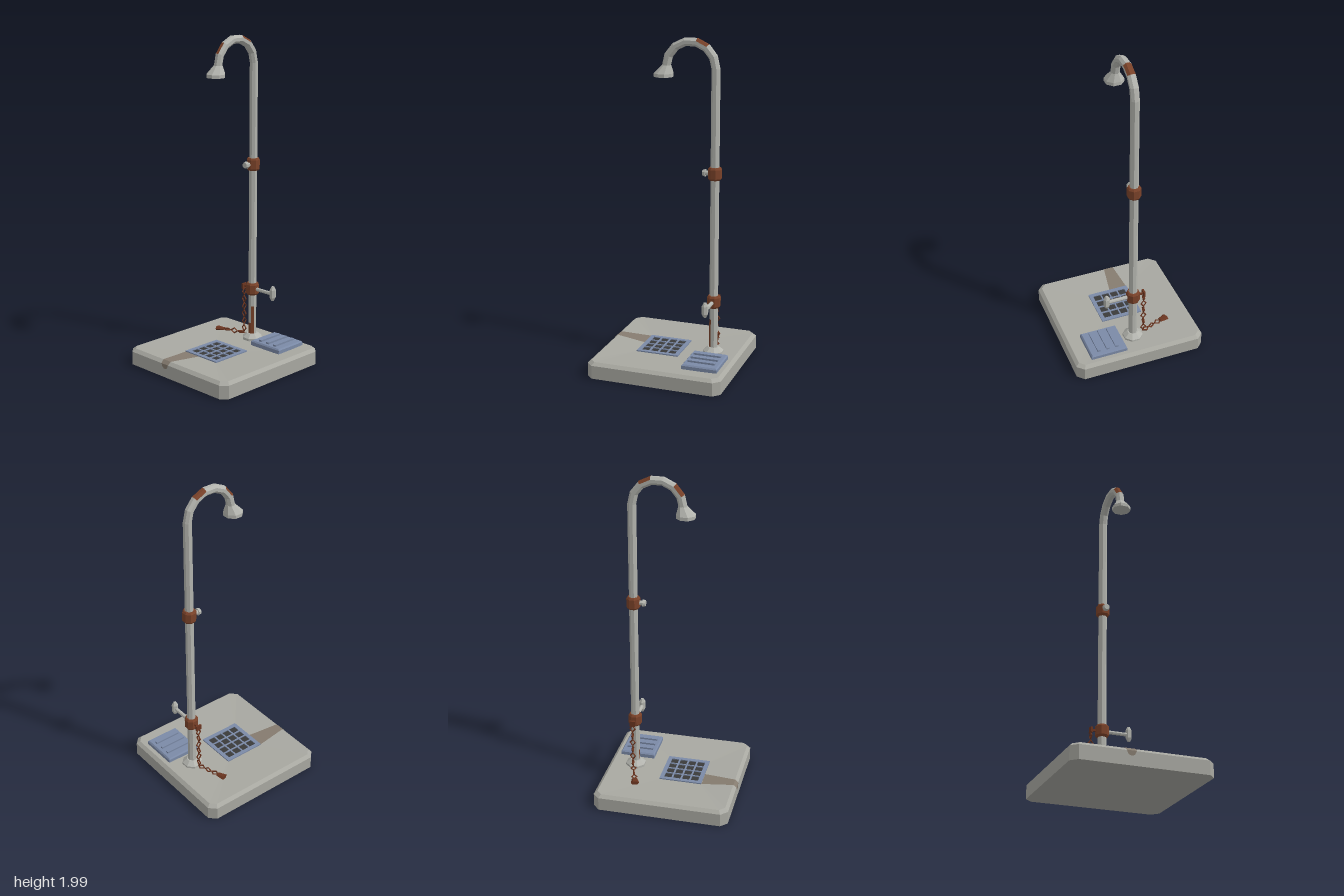
import * as THREE from 'three';

const V = (x, y, z) => new THREE.Vector3(x, y, z);
const mat = (name, color) => {
  const m = new THREE.MeshStandardMaterial({ color, flatShading: true });
  m.name = name;
  return m;
};

// flat-shaded geometry from a list of quads / triangles
function facets(faces) {
  const pts = [];
  for (const f of faces) {
    for (let i = 1; i < f.length - 1; i++) pts.push(f[0], f[i], f[i + 1]);
  }
  const g = new THREE.BufferGeometry().setFromPoints(pts);
  g.computeVertexNormals();
  return g;
}

// skin between equal rings (bottom to top), closed at both ends
function loft(rings) {
  const n = rings[0].length;
  const faces = [[...rings[0]].reverse(), rings[rings.length - 1]];
  for (let i = 0; i < rings.length - 1; i++) {
    for (let j = 0; j < n; j++) {
      const k = (j + 1) % n;
      faces.push([rings[i][j], rings[i][k], rings[i + 1][k], rings[i + 1][j]]);
    }
  }
  return facets(faces);
}

// horizontal polygon with a flat side to the front
function ring(r, y, x = 0, z = 0, n = 8) {
  return Array.from({ length: n }, (_, j) => {
    const a = ((j - 0.5) / n) * Math.PI * 2;
    return V(x + r * Math.sin(a), y, z + r * Math.cos(a));
  });
}

// horizontal square with cut corners
function cutSquare(h, cut, y, cz = 0) {
  const s = h - cut;
  return [[-s, h], [s, h], [h, s], [h, -s], [s, -h], [-s, -h], [-h, -s], [-h, s]]
    .map(([x, z]) => V(x, y, z + cz));
}

export function createModel() {
  const root = new THREE.Group();
  const concrete = mat('concrete', 0xa8a8a1);
  const steel = mat('steel', 0xb3b4ae);
  const rust = mat('rust', 0x7a4229);
  const chainRust = mat('darkRust', 0x6b3520);
  const blue = mat('blueMetal', 0x7b8aa7);
  const dark = mat('drainDark', 0x3a3a3a);
  const stainMat = mat('waterStain', 0x857b6f);
  stainMat.side = THREE.DoubleSide;

  const add = (name, geo, material, parent = root) => {
    const m = new THREE.Mesh(geo, material);
    m.name = name;
    parent.add(m);
    return m;
  };
  const poleZ = -0.25, drainZ = 0.066;

  // slab, dished towards the drain
  add('slab', loft([
    cutSquare(0.415, 0.04, 0), cutSquare(0.415, 0.04, 0.082),
    cutSquare(0.395, 0.032, 0.1), cutSquare(0.132, 0.004, 0.089, drainZ),
  ]), concrete);

  // drain grate with 4 x 4 openings
  const rect = (T, x, y, w, h) => {
    const s = new T();
    s.moveTo(x - w / 2, y - h / 2).lineTo(x + w / 2, y - h / 2);
    s.lineTo(x + w / 2, y + h / 2).lineTo(x - w / 2, y + h / 2);
    s.closePath();
    return s;
  };
  const grate = rect(THREE.Shape, 0, 0, 0.264, 0.264);
  for (let i = 0; i < 4; i++) {
    for (let j = 0; j < 4; j++) {
      grate.holes.push(rect(THREE.Path, (i - 1.5) * 0.056, (j - 1.5) * 0.056, 0.047, 0.046));
    }
  }
  const grateGeo = new THREE.ExtrudeGeometry(grate, { depth: 0.008, bevelEnabled: false });
  add('drainGrate', grateGeo.rotateX(-Math.PI / 2).translate(0, 0.088, drainZ), blue);
  add('drainOpening', new THREE.PlaneGeometry(0.25, 0.25).rotateX(-Math.PI / 2)
    .translate(0, 0.0905, drainZ), dark);

  // water stain running from the drain over the front edge
  const stainRows = [
    [-0.13, -0.015, 0.0905, 0.2], [-0.112, -0.05, 0.1015, 0.396],
    [-0.11, -0.052, 0.083, 0.4165], [-0.1, -0.062, 0.062, 0.4165], [-0.09, -0.072, 0.055, 0.4165],
  ];
  add('waterStain', facets(stainRows.slice(1).map((b, i) => {
    const a = stainRows[i];
    return [V(a[0], a[2], a[3]), V(b[0], b[2], b[3]), V(b[1], b[2], b[3]), V(a[1], a[2], a[3])];
  })), stainMat);

  // ribbed foot pad
  const pad = new THREE.Group();
  pad.name = 'footPad';
  pad.position.set(0.197, 0, -0.261);
  root.add(pad);
  const padRing = (hx, hz, y) => [V(-hx, y, hz), V(hx, y, hz), V(hx, y, -hz), V(-hx, y, -hz)];
  add('padBase', loft([padRing(0.116, 0.108, 0.095), padRing(0.116, 0.108, 0.118),
    padRing(0.109, 0.101, 0.126)]), blue, pad);
  for (const x of [-0.057, 0.001, 0.059]) {
    add('padRib', new THREE.BoxGeometry(0.018, 0.014, 0.168).translate(x, 0.13, 0.002), blue, pad);
  }

  // pole and gooseneck: straight run, then a half circle in seven steps
  const path = [0.1, 0.13, 0.2, 0.31].map((y) => ({ p: V(0, y, poleZ), t: 0 }));
  for (let i = 0; i <= 7; i++) {
    const t = (i / 7) * Math.PI;
    path.push({ p: V(0, 1.82 + 0.15 * Math.sin(t), -0.1 - 0.15 * Math.cos(t)), t });
  }
  const rings = path.map(({ p, t }) => Array.from({ length: 8 }, (_, j) => {
    const a = (j - 0.5) * Math.PI / 4, r = 0.026;
    const inward = V(0, -Math.sin(t), Math.cos(t));
    return p.clone().addScaledVector(inward, r * Math.cos(a)).add(V(r * Math.sin(a), 0, 0));
  }));
  // rusted sides, by segment
  const rusted = { 1: [0, 1], 2: [1], 6: [3, 4, 5], 9: [4, 5] };
  const clean = [], patches = [];
  for (let i = 0; i < rings.length - 1; i++) {
    for (let j = 0; j < 8; j++) {
      const k = (j + 1) % 8;
      const list = (rusted[i] || []).includes(j) ? patches : clean;
      list.push([rings[i][j], rings[i][k], rings[i + 1][k], rings[i + 1][j]]);
    }
  }
  add('pipe', facets(clean), steel);
  add('pipeRustPatches', facets(patches), rust);

  // shower head and base flange
  add('showerHead', loft([
    ring(0.058, 1.76, 0, 0.066), ring(0.058, 1.78, 0, 0.066), ring(0.027, 1.828, 0, 0.048),
  ]), steel);
  add('baseFlange', loft([
    ring(0.063, 0.092, 0, poleZ), ring(0.063, 0.108, 0, poleZ), ring(0.034, 0.132, 0, poleZ),
  ]), steel);

  // rusty collars
  for (const y of [0.422, 1.209]) {
    add('collar', loft([[0.034, -0.038], [0.042, -0.027], [0.042, 0.027], [0.034, 0.038]]
      .map(([r, dy]) => ring(r, y + dy, 0, poleZ))), rust);
  }

  // bolt on the upper collar
  const bolt = (r0, r1, len, z) => new THREE.CylinderGeometry(r1, r0, len, 8)
    .rotateY(Math.PI / 8).rotateX(Math.PI / 2).translate(0, 1.209, z);
  add('boltStem', bolt(0.014, 0.014, 0.03, -0.205), steel);
  add('boltHead', bolt(0.023, 0.018, 0.018, -0.184), steel);

  // valve handle
  add('valveStem', new THREE.CylinderGeometry(0.012, 0.012, 0.13, 8)
    .rotateZ(Math.PI / 2).translate(0.095, 0.422, poleZ), steel);
  add('valveHandle', loft([[0.009, -0.045], [0.02, -0.024], [0.02, 0.024], [0.009, 0.045]]
    .map(([r, dy]) => ring(r, 0.425 + dy, 0.17, poleZ, 6))), steel);

  // chain hanger
  add('hangerRod', new THREE.BoxGeometry(0.04, 0.012, 0.01).translate(-0.05, 0.422, poleZ), chainRust);
  add('hangerPlate', new THREE.BoxGeometry(0.012, 0.034, 0.036).translate(-0.07, 0.422, poleZ), chainRust);

  // chain: diamond links turned a quarter from one to the next
  const chain = new THREE.Group();
  chain.name = 'chain';
  root.add(chain);
  const linkGeo = new THREE.TorusGeometry(0.016, 0.005, 4, 4);
  const run = (from, to, count, sides) => {
    const dir = to.clone().sub(from).normalize(), len = from.distanceTo(to) / count;
    for (let i = 0; i < count; i++) {
      const side = sides[i % 2].clone();
      side.addScaledVector(dir, -side.dot(dir)).normalize();
      const m = add('chainLink', linkGeo, chainRust, chain);
      m.quaternion.setFromRotationMatrix(
        new THREE.Matrix4().makeBasis(dir, side, dir.clone().cross(side)));
      m.position.lerpVectors(from, to, (i + 0.5) / count);
      m.scale.x = (len / 2 + 0.004) / 0.021;
    }
  };
  run(V(-0.07, 0.41, poleZ), V(-0.07, 0.12, poleZ), 6, [V(0, 0, 1), V(1, 0, 0)]);
  run(V(-0.065, 0.115, poleZ), V(-0.205, 0.115, -0.205), 3, [V(0, 0, 1), V(0, 1, 0)]);

  // plug at the end of the chain
  const plug = add('chainPlug', new THREE.CylinderGeometry(0.026, 0.017, 0.05, 6)
    .rotateZ(Math.PI / 2).scale(1, 0.5, 1), chainRust, chain);
  plug.position.set(-0.226, 0.114, -0.197);
  plug.rotation.y = 0.32;

  return root;
}
